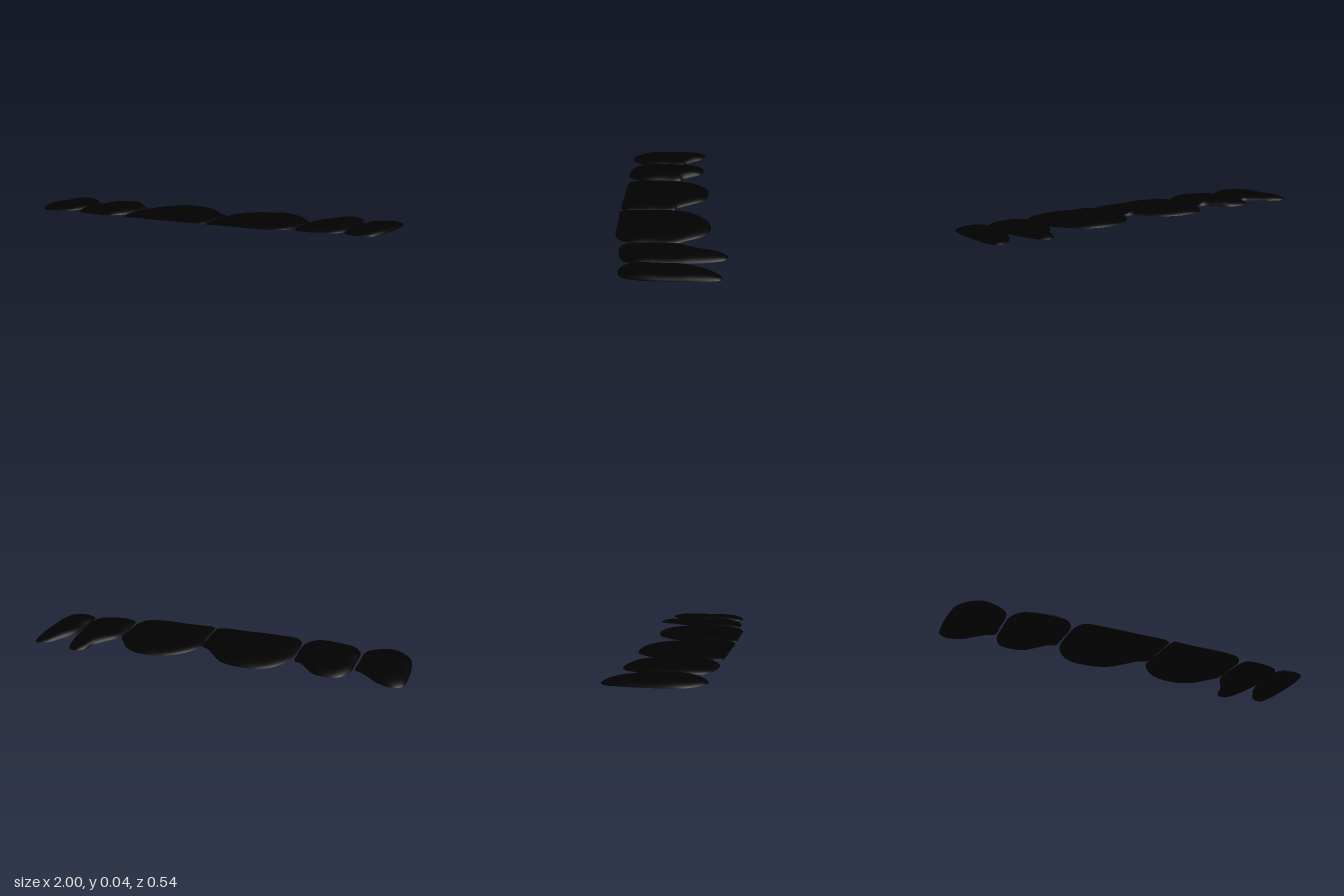
import * as THREE from 'three';

const enamel = new THREE.MeshStandardMaterial({ color: 0x010101 });
enamel.name = 'black enamel';

// Domed cross-section: [scale from centre, share of full height]
const profile = [[1, 0], [0.985, 0.15], [0.95, 0.33], [0.89, 0.52], [0.8, 0.7], [0.69, 0.82],
  [0.55, 0.91], [0.4, 0.97], [0.25, 1], [0.1, 1], [0, 1]];
const SIDES = 160;

// Two gentle swellings across every tooth face, one low and one near the root
const lobe = (v, at, width) => Math.exp(-(((v - at) / width) ** 2));
const swell = z => 1 + 0.12 * lobe(z, 0.11, 0.06) + 0.08 * lobe(z, -0.09, 0.05);

// A flat-backed shell: outline [x, z] counterclockwise from above, height and x of its long ridge
function tooth(name, height, ridge, outline) {
  const curve = new THREE.CatmullRomCurve3(
    outline.map(([x, z]) => new THREE.Vector3(x, 0, z)), true, 'centripetal');
  const rim = curve.getSpacedPoints(SIDES).slice(0, SIDES);
  const c = new THREE.Box3().setFromPoints(rim).getCenter(new THREE.Vector3());
  const pos = [], idx = [];

  // Domed front
  for (const [s, h] of profile) {
    for (const p of rim) {
      const x = c.x + (p.x - c.x) * s, z = c.z + (p.z - c.z) * s;
      pos.push(x, h * height * (1 + 0.2 * lobe(x, ridge, 0.06)) * swell(z), z);
    }
  }
  for (let r = 0; r < profile.length - 1; r++) {
    for (let i = 0; i < SIDES; i++) {
      const j = (i + 1) % SIDES;
      const a = r * SIDES + i, b = r * SIDES + j;
      idx.push(a, b, b + SIDES);
      if (r < profile.length - 2) idx.push(a, b + SIDES, a + SIDES);
    }
  }

  // Flat back with its own rim so the edge stays sharp
  const base = pos.length / 3;
  for (const p of rim) pos.push(p.x, 0, p.z);
  pos.push(c.x, 0, c.z);
  for (let i = 0; i < SIDES; i++) idx.push(base + (i + 1) % SIDES, base + i, base + SIDES);

  const geo = new THREE.BufferGeometry();
  geo.setAttribute('position', new THREE.Float32BufferAttribute(pos, 3));
  geo.setIndex(idx);
  geo.computeVertexNormals();
  const mesh = new THREE.Mesh(geo, enamel);
  mesh.name = name;
  return mesh;
}

export function createModel() {
  const group = new THREE.Group();
  group.name = 'toothRow';
  group.add(
    tooth('rightCanine', 0.025, -0.9, [
      [-0.94, -0.19], [-0.982, -0.165], [-0.996, -0.1], [-1, 0.05], [-0.985, 0.17], [-0.94, 0.233],
      [-0.877, 0.266], [-0.81, 0.248], [-0.755, 0.203], [-0.74, 0.15], [-0.735, 0.06],
      [-0.733, -0.05], [-0.76, -0.064], [-0.813, -0.114], [-0.866, -0.167]]),
    tooth('rightLateralIncisor', 0.029, -0.51, [
      [-0.61, -0.173], [-0.67, -0.157], [-0.71, -0.087], [-0.723, 0.05], [-0.722, 0.17],
      [-0.685, 0.233], [-0.567, 0.266], [-0.46, 0.252], [-0.417, 0.19], [-0.409, 0.05],
      [-0.415, -0.034], [-0.45, -0.052], [-0.487, -0.097], [-0.54, -0.157]]),
    tooth('rightCentralIncisor', 0.027, -0.18, [
      [-0.176, -0.195], [-0.267, -0.184], [-0.337, -0.131], [-0.388, -0.034], [-0.401, 0.08],
      [-0.393, 0.222], [-0.362, 0.259], [-0.3, 0.265], [-0.1, 0.267], [0.075, 0.266],
      [0.102, 0.25], [0.106, 0.2], [0.106, 0.107], [0.098, -0.01], [0.064, -0.026],
      [0.021, -0.077], [-0.048, -0.157], [-0.102, -0.184]]),
    tooth('leftCentralIncisor', 0.026, 0.37, [
      [0.342, -0.198], [0.246, -0.179], [0.16, -0.115], [0.111, -0.029], [0.112, 0.107],
      [0.115, 0.248], [0.125, 0.27], [0.16, 0.27], [0.3, 0.267], [0.45, 0.266],
      [0.52, 0.245], [0.554, 0.193], [0.562, 0.1], [0.563, -0.024], [0.524, -0.087],
      [0.47, -0.157], [0.41, -0.19]]),
    tooth('leftLateralIncisor', 0.023, 0.7, [
      [0.722, -0.27], [0.686, -0.244], [0.66, -0.172], [0.625, -0.112], [0.585, -0.052],
      [0.573, 0], [0.572, 0.134], [0.582, 0.208], [0.62, 0.231], [0.7, 0.228], [0.775, 0.208],
      [0.808, 0.163], [0.815, 0.05], [0.811, -0.05], [0.796, -0.157], [0.775, -0.232],
      [0.755, -0.262]]),
    tooth('leftCanine', 0.023, 0.88, [
      [0.957, -0.235], [0.914, -0.214], [0.866, -0.147], [0.827, -0.061], [0.821, 0.053],
      [0.824, 0.18], [0.85, 0.207], [0.909, 0.216], [0.96, 0.198], [0.989, 0.12],
      [1, -0.024], [0.995, -0.18], [0.98, -0.228]]),
  );
  return group;
}
